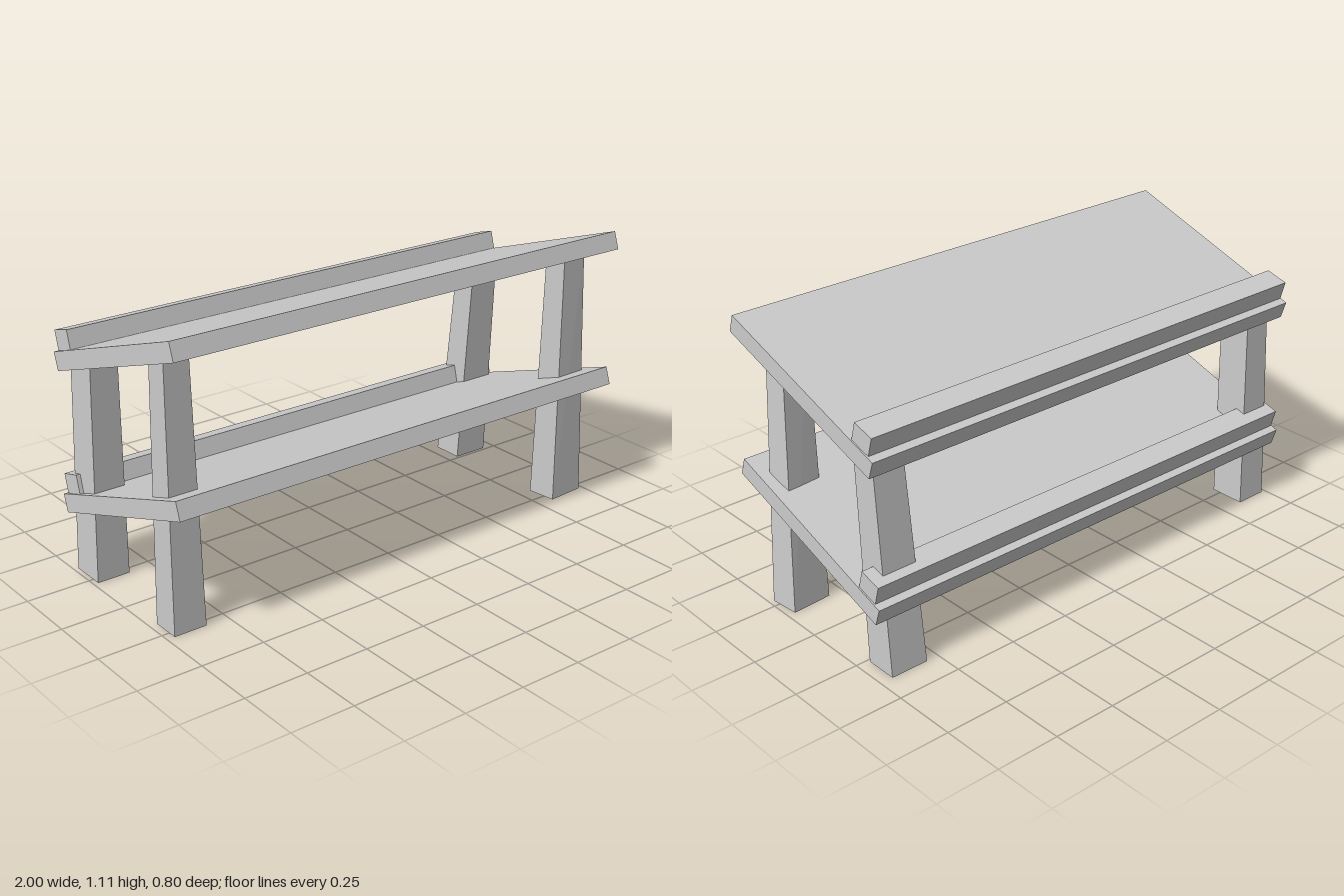
import * as THREE from 'three';

const material = new THREE.MeshStandardMaterial({ color: 0xcccccc, flatShading: true });

function board(name, w, h, d) {
  const mesh = new THREE.Mesh(new THREE.BoxGeometry(w, h, d), material);
  mesh.name = name;
  return mesh;
}

// Tapered, leaning post: bottom and top are [xMin, xMax, zMin, zMax]; turn shears the corners like a slight twist
function leg(name, height, bottom, top, turn = 0) {
  const geo = new THREE.BoxGeometry(1, 1, 1);
  const p = geo.attributes.position;
  for (let i = 0; i < p.count; i++) {
    const sx = p.getX(i), sz = p.getZ(i), up = p.getY(i) > 0;
    const [x0, x1, z0, z1] = up ? top : bottom;
    const t = up ? turn * 0.4 : turn;
    p.setXYZ(i,
      (x0 + x1) / 2 + sx * (x1 - x0) + sz * t,
      up ? height : 0,
      (z0 + z1) / 2 + sz * (z1 - z0) - sx * t);
  }
  geo.computeVertexNormals();
  const mesh = new THREE.Mesh(geo, material);
  mesh.name = name;
  return mesh;
}

export function createModel() {
  const model = new THREE.Group();
  model.name = 'slantedShelfStand';

  // Two sloping shelves, each with a stop rail along the low back edge
  for (const [name, y] of [['lowerShelf', 0.393], ['upperShelf', 0.946]]) {
    const shelf = new THREE.Group();
    shelf.name = name;
    const rail = board('stopRail', 1.99, 0.074, 0.092);
    rail.position.set(0, 0.072, -0.333);
    rail.rotation.x = 0.05;
    shelf.add(board('shelfBoard', 2, 0.07, 0.82), rail);
    shelf.position.y = y;
    shelf.rotation.x = -0.325;
    model.add(shelf);
  }

  // Four uneven hand-cut legs, running through the lower shelf into the upper one
  model.add(
    leg('frontRightLeg', 1.03, [0.815, 0.975, 0.171, 0.289], [0.822, 0.93, 0.197, 0.289], 0.012),
    leg('frontLeftLeg', 1.03, [-0.97, -0.84, 0.17, 0.285], [-0.97, -0.872, 0.197, 0.287]),
    leg('backRightLeg', 0.86, [0.80, 0.95, -0.39, -0.262], [0.82, 0.944, -0.315, -0.215]),
    leg('backLeftLeg', 0.86, [-0.982, -0.85, -0.36, -0.215], [-0.975, -0.865, -0.325, -0.19])
  );
  return model;
}
